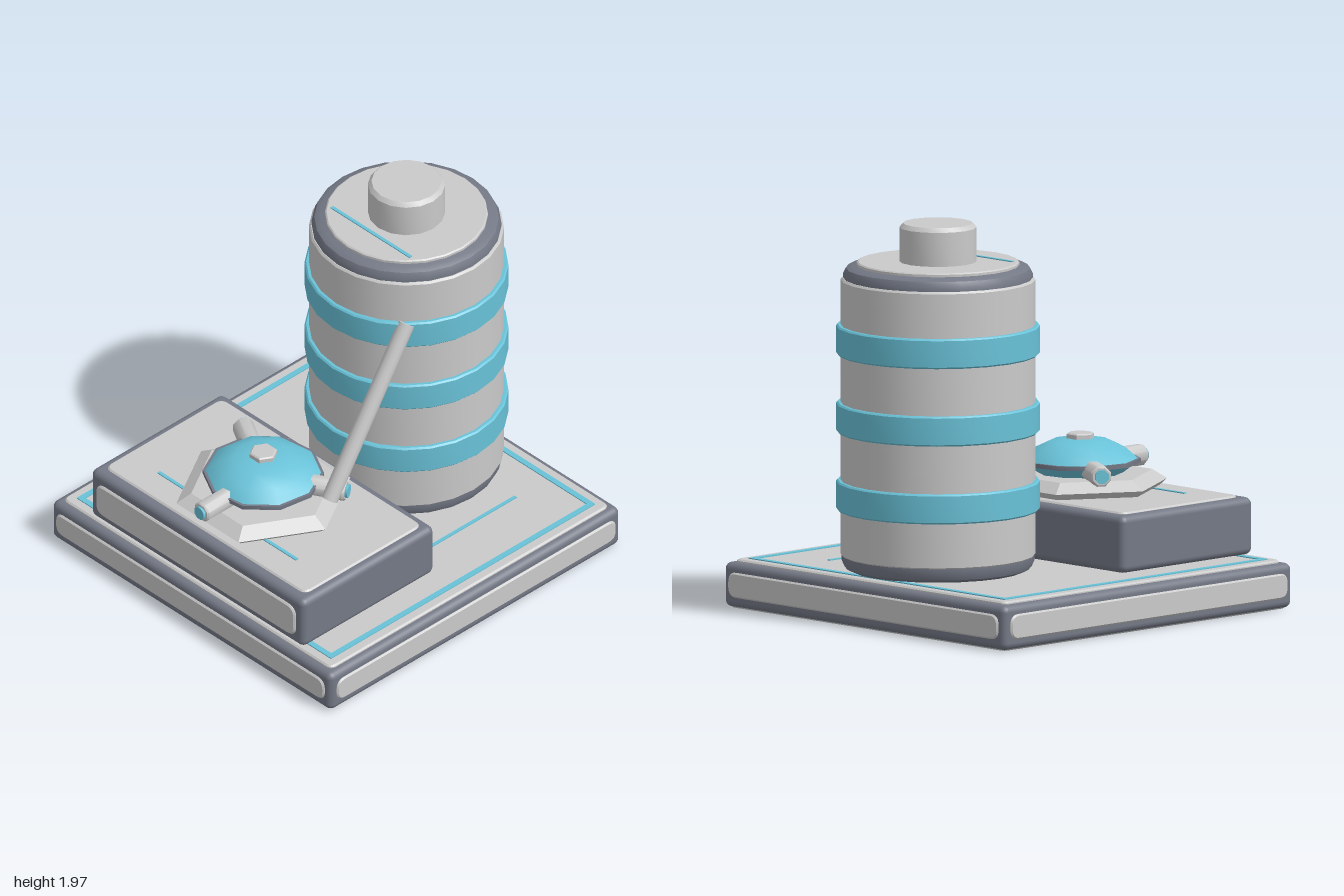
import * as THREE from 'three';
import { toCreasedNormals } from 'three/addons/utils/BufferGeometryUtils.js';
import { RoundedBoxGeometry } from 'three/addons/geometries/RoundedBoxGeometry.js';

export function createModel() {
  const model = new THREE.Group();
  model.name = 'tankStation';

  const material = (name, color) => {
    const m = new THREE.MeshStandardMaterial({ color });
    m.name = name;
    return m;
  };
  const light = material('light grey', 0xcacaca);
  const dark = material('slate grey', 0x747986);
  const cyan = material('cyan', 0x69c2d8);

  const add = (name, geometry, mat, x = 0, y = 0, z = 0, parent = model) => {
    const mesh = new THREE.Mesh(geometry, mat);
    mesh.name = name;
    mesh.position.set(x, y, z);
    parent.add(mesh);
    return mesh;
  };

  // Turned part from [radius, height] points, bottom to top
  const turned = (points, sides, crease = 0.6, start = 0) => toCreasedNormals(
    new THREE.LatheGeometry(points.map(([r, y]) => new THREE.Vector2(r, y)), sides, start), crease);

  // Thin rounded panel whose outer face lies at z = 0
  const panelGeometry = (w, h, r, depth = 0.03, bevel = 0.008) => {
    const x = w / 2 - bevel, y = h / 2 - bevel;
    const s = new THREE.Shape();
    s.moveTo(-x + r, -y);
    s.lineTo(x - r, -y); s.quadraticCurveTo(x, -y, x, -y + r);
    s.lineTo(x, y - r); s.quadraticCurveTo(x, y, x - r, y);
    s.lineTo(-x + r, y); s.quadraticCurveTo(-x, y, -x, y - r);
    s.lineTo(-x, -y + r); s.quadraticCurveTo(-x, -y, -x + r, -y);
    const g = new THREE.ExtrudeGeometry(s, {
      depth: depth - 2 * bevel, bevelSize: bevel, bevelThickness: bevel, bevelSegments: 1, curveSegments: 6,
    });
    return g.translate(0, 0, bevel - depth);
  };
  const strip = (name, w, d, x, y, z) => add(name, new THREE.BoxGeometry(w, 0.008, d), cyan, x, y, z);

  // Base block with inset panels on every face
  add('baseFrame', new RoundedBoxGeometry(1.98, 0.222, 1.98, 3, 0.035), dark, 0, 0.115, 0);
  for (let i = 0; i < 4; i++) {
    const a = i * Math.PI / 2;
    add('baseSidePanel', panelGeometry(1.9, 0.125, 0.045), light, Math.sin(a), 0.118, Math.cos(a)).rotation.y = a;
  }
  add('baseTopPanel', panelGeometry(1.9, 1.9, 0.03), light, 0, 0.24, 0).rotation.x = -Math.PI / 2;
  add('baseUnderside', panelGeometry(1.94, 1.94, 0.03), light, 0, 0, 0).rotation.x = Math.PI / 2;

  // Painted border and line on the base
  for (const s of [-1, 1]) {
    strip('borderStrip', 1.8, 0.03, 0, 0.241, s * 0.885);
    strip('borderStrip', 0.03, 1.74, s * 0.885, 0.241, 0);
  }
  strip('baseLine', 0.018, 0.9, 0.585, 0.241, -0.21);

  // Front pedestal
  add('pedestal', new RoundedBoxGeometry(1.51, 0.285, 0.9, 3, 0.035), dark, 0, 0.388, 0.5);
  add('pedestalFrontPanel', panelGeometry(1.41, 0.18, 0.05), light, 0, 0.385, 0.962);
  add('pedestalTopPanel', panelGeometry(1.42, 0.8, 0.04), light, 0, 0.54, 0.495).rotation.x = -Math.PI / 2;
  strip('pedestalLine', 0.98, 0.018, 0, 0.541, 0.737);

  // Storage tank
  const tank = new THREE.Group();
  tank.name = 'tank';
  tank.position.z = -0.48;
  model.add(tank);
  const SIDES = 24;
  add('tankFoot', turned([[0, 0.245], [0.43, 0.245], [0.46, 0.26], [0.473, 0.29], [0.473, 0.32], [0, 0.32]], SIDES), dark, 0, 0, 0, tank);
  add('tankBody', turned([[0, 0.315], [0.47, 0.315], [0.479, 0.324], [0.479, 1.685], [0.47, 1.695], [0, 1.695]], SIDES), light, 0, 0, 0, tank);
  add('tankShoulder', turned([[0.466, 1.69], [0.466, 1.715], [0.453, 1.743], [0.425, 1.758], [0, 1.758]], SIDES), dark, 0, 0, 0, tank);
  add('tankLid', turned([[0.4, 1.75], [0.4, 1.77], [0.393, 1.776], [0, 1.776]], SIDES), light, 0, 0, 0, tank);
  add('tankCap', turned([[0.19, 1.77], [0.19, 1.945], [0.172, 1.966], [0, 1.966]], 16), light, 0, 0, 0, tank);
  for (const y of [0.618, 1.005, 1.39]) {
    add('tankBand', turned([[0.47, -0.074], [0.493, -0.074], [0.501, -0.066], [0.501, 0.066], [0.493, 0.074], [0.47, 0.074]], SIDES), cyan, 0, y, 0, tank);
  }
  strip('lidLine', 0.56, 0.018, 0, 1.777, -0.24);

  // Pump on a hexagonal plate
  const pump = new THREE.Group();
  pump.name = 'pump';
  pump.position.z = 0.495;
  model.add(pump);
  add('hexPlate', turned([[0, 0.538], [0.4, 0.538], [0.44, 0.572], [0.365, 0.62], [0, 0.62]], 6, 0.4, Math.PI / 6), light, 0, 0, 0, pump);
  const turn = 26 * Math.PI / 180;
  add('pumpBody', turned([[0.2, 0.61], [0.28, 0.672]], 10, 0.9, turn), cyan, 0, 0, 0, pump);
  add('pumpRim', turned([[0, 0.668], [0.298, 0.668], [0.298, 0.69], [0, 0.69]], 10, 0.9, turn), dark, 0, 0, 0, pump);
  add('pumpDome', turned([[0.284, 0.69], [0.225, 0.742], [0.145, 0.779], [0.06, 0.79], [0, 0.79]], 10, 0.9, turn), cyan, 0, 0, 0, pump);
  add('pumpKnob', turned([[0.07, 0.78], [0.07, 0.81], [0.062, 0.816], [0, 0.816]], 6, 0.4, Math.PI / 6), light, 0, 0, 0, pump);

  // Three nozzles around the pump
  for (let i = 0; i < 3; i++) {
    const nozzle = new THREE.Group();
    nozzle.name = 'nozzle';
    nozzle.position.y = 0.66;
    nozzle.rotation.y = i * Math.PI * 2 / 3;
    pump.add(nozzle);
    const pipe = turned([[0.054, 0.15], [0.054, 0.415], [0.046, 0.425], [0, 0.425]], 8, 0.9, Math.PI / 8);
    add('nozzlePipe', pipe.rotateX(Math.PI / 2), light, 0, 0, 0, nozzle);
    const tip = turned([[0.036, 0.41], [0.036, 0.438], [0, 0.438]], 8, 0.9, Math.PI / 8);
    add('nozzleTip', tip.rotateX(Math.PI / 2), cyan, 0, 0, 0, nozzle);
  }

  // Slanted pipe from pump to tank
  const from = new THREE.Vector3(0.345, 0.642, 0.375);
  const to = new THREE.Vector3(0.345, 1.453, -0.15);
  const along = to.clone().sub(from);
  const pipe = add('feedPipe', new THREE.CylinderGeometry(0.042, 0.042, along.length(), 12), light);
  pipe.position.copy(from).add(to).multiplyScalar(0.5);
  pipe.quaternion.setFromUnitVectors(new THREE.Vector3(0, 1, 0), along.normalize());

  return model;
}
